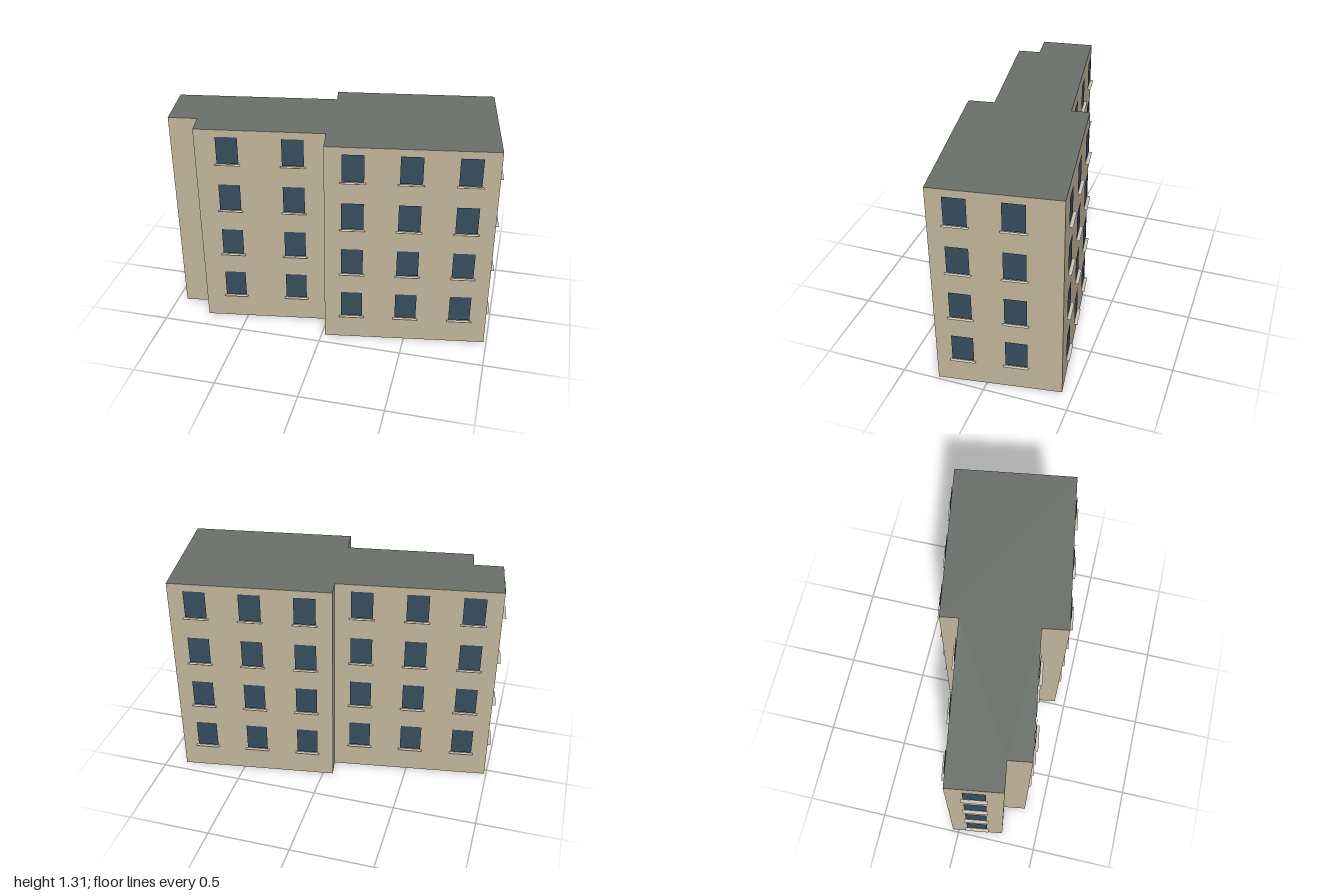
import * as THREE from 'three';

const HEIGHT = 1.31;
const WINDOW = { width: 0.127, height: 0.17, gap: 0.008 };
const SILL = { width: 0.147, depth: 0.02 };
const FLOORS = [0.17, 0.48, 0.79, 1.1]; // window bottom heights

// Stepped footprint as [x, z], anticlockwise seen from above,
// each with the window positions (0..1) along the wall that starts there
const thirds = [1 / 6, 1 / 2, 5 / 6];
const WALLS = [
  { at: [-0.988, -0.038], windows: [0.5] },
  { at: [-0.942, 0.28], windows: [] },
  { at: [-0.77, 0.255], windows: [] },
  { at: [-0.75, 0.39], windows: [0.25, 0.75] },
  { at: [-0.002, 0.278], windows: [] },
  { at: [0.022, 0.433], windows: thirds },
  { at: [0.984, 0.284], windows: [0.215, 0.64] },
  { at: [0.876, -0.435], windows: thirds },
  { at: [-0.062, -0.292], windows: [] },
  { at: [-0.044, -0.185], windows: thirds },
];

const paint = (color, side = THREE.FrontSide) =>
  new THREE.MeshStandardMaterial({ color, side });

export function createModel() {
  const building = new THREE.Group();
  building.name = 'apartmentBuilding';

  const wallPaint = paint(0xc2b59b);
  const roofPaint = paint(0x6b706b);
  const glass = paint(0x364d5e, THREE.DoubleSide);
  const stone = paint(0xcfc6b8, THREE.DoubleSide);

  // Body: footprint raised to full height, caps in roof colour
  const plan = new THREE.Shape(WALLS.map(({ at: [x, z] }) => new THREE.Vector2(x, -z)));
  const bodyGeometry = new THREE.ExtrudeGeometry(plan, { depth: HEIGHT, bevelEnabled: false });
  bodyGeometry.rotateX(-Math.PI / 2);
  const body = new THREE.Mesh(bodyGeometry, [roofPaint, wallPaint]);
  body.name = 'wallsAndRoof';
  building.add(body);

  // Window pane and thin sill, modelled facing +z with the origin at the pane's bottom
  const paneGeometry = new THREE.PlaneGeometry(WINDOW.width, WINDOW.height)
    .translate(0, WINDOW.height / 2, WINDOW.gap);
  const sillGeometry = new THREE.PlaneGeometry(SILL.width, SILL.depth)
    .rotateX(-Math.PI / 2)
    .translate(0, -0.004, WINDOW.gap + SILL.depth / 2);

  function makeWindow() {
    const unit = new THREE.Group();
    unit.name = 'window';
    const pane = new THREE.Mesh(paneGeometry, glass);
    pane.name = 'windowPane';
    const sill = new THREE.Mesh(sillGeometry, stone);
    sill.name = 'windowSill';
    unit.add(pane, sill);
    return unit;
  }

  // Windows along each wall on every floor
  WALLS.forEach(({ at: [x, z], windows }, i) => {
    const [nextX, nextZ] = WALLS[(i + 1) % WALLS.length].at;
    const dx = nextX - x;
    const dz = nextZ - z;
    for (const t of windows) {
      for (const y of FLOORS) {
        const unit = makeWindow();
        unit.position.set(x + dx * t, y, z + dz * t);
        unit.rotation.y = Math.atan2(-dz, dx);
        building.add(unit);
      }
    }
  });

  return building;
}
